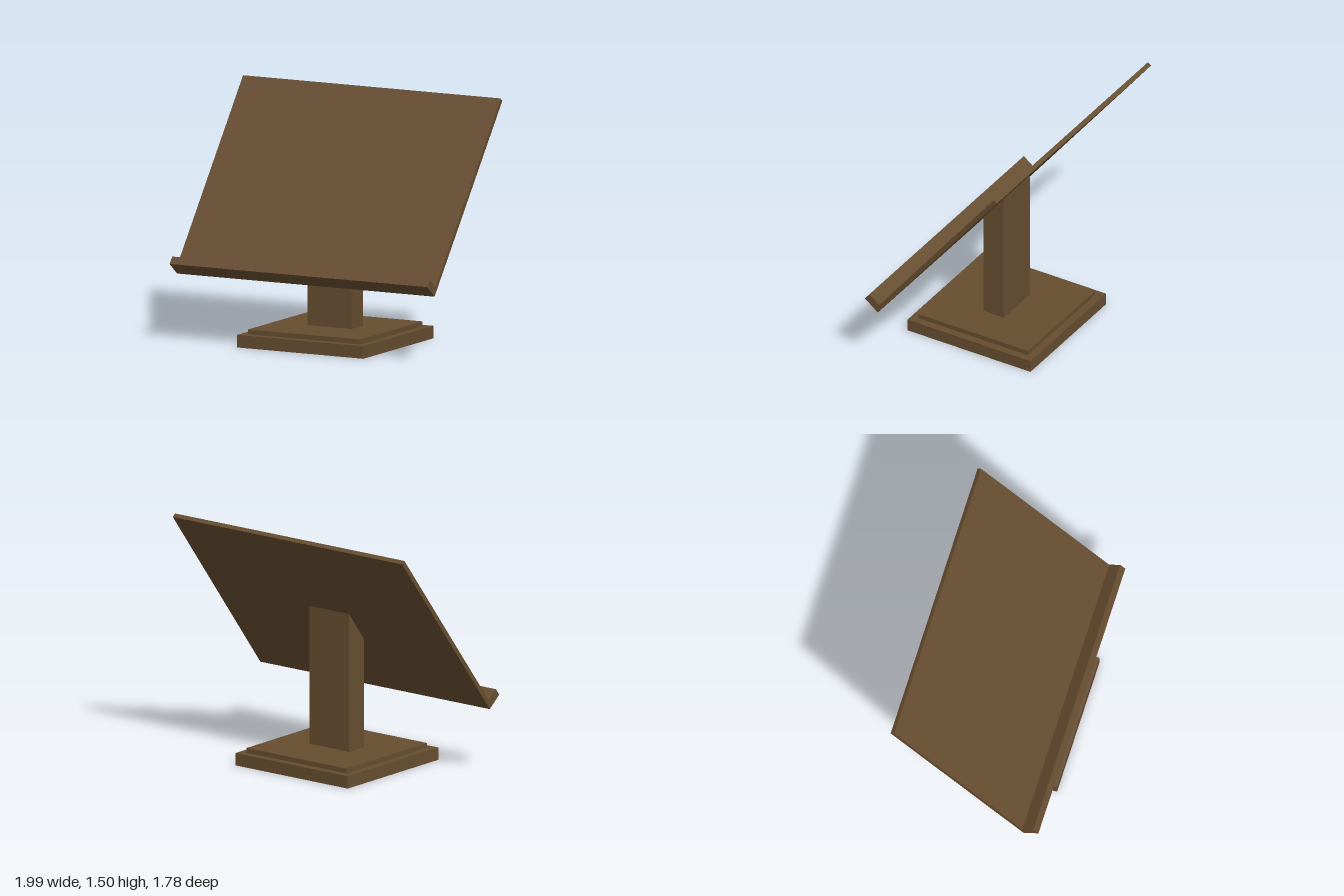
import * as THREE from 'three';

const wood = new THREE.MeshStandardMaterial({ color: 0x664d30 });
wood.name = 'dark wood';

// Box standing on its own bottom face at height y
function block(name, w, h, d, y = 0, z = 0) {
  const mesh = new THREE.Mesh(new THREE.BoxGeometry(w, h, d).translate(0, h / 2, 0), wood);
  mesh.name = name;
  mesh.position.set(0, y, z);
  return mesh;
}

export function createModel() {
  const model = new THREE.Group();
  model.name = 'lectern';
  const stand = new THREE.Group();
  stand.name = 'turnedStand';
  stand.rotation.y = THREE.MathUtils.degToRad(-35);
  model.add(stand);

  const axisZ = 0.0085;
  const tilt = THREE.MathUtils.degToRad(38);
  const hingeY = 0.406, hingeZ = 0.375; // lower rear edge of the tilted rest

  // Stepped square base
  stand.add(block('basePlinth', 0.87, 0.077, 0.87, 0, axisZ));
  stand.add(block('baseStep', 0.774, 0.03, 0.774, 0.077, axisZ));

  // Post, its top cut to the slope of the rest
  const postY = 0.107;
  const post = block('post', 0.305, 1, 0.144, postY, axisZ);
  const p = post.geometry.attributes.position;
  for (let i = 0; i < p.count; i++) {
    if (p.getY(i) > 0.5) {
      const z = p.getZ(i) + axisZ;
      p.setY(i, hingeY + (hingeZ - z) / Math.tan(tilt) - postY);
    }
  }
  post.geometry.computeVertexNormals();
  stand.add(post);

  // Tilted reading rest with a ledge along its lower edge
  const rest = new THREE.Group();
  rest.name = 'readingRest';
  rest.position.set(0, hingeY, hingeZ);
  rest.rotation.x = -tilt;
  const width = 1.778, thick = 0.028, ledgeDepth = 0.116;
  rest.add(block('board', width, 1.367, thick, 0, thick / 2));
  rest.add(block('ledge', width, 0.052, ledgeDepth - thick, 0, (ledgeDepth + thick) / 2));
  stand.add(rest);

  return model;
}
